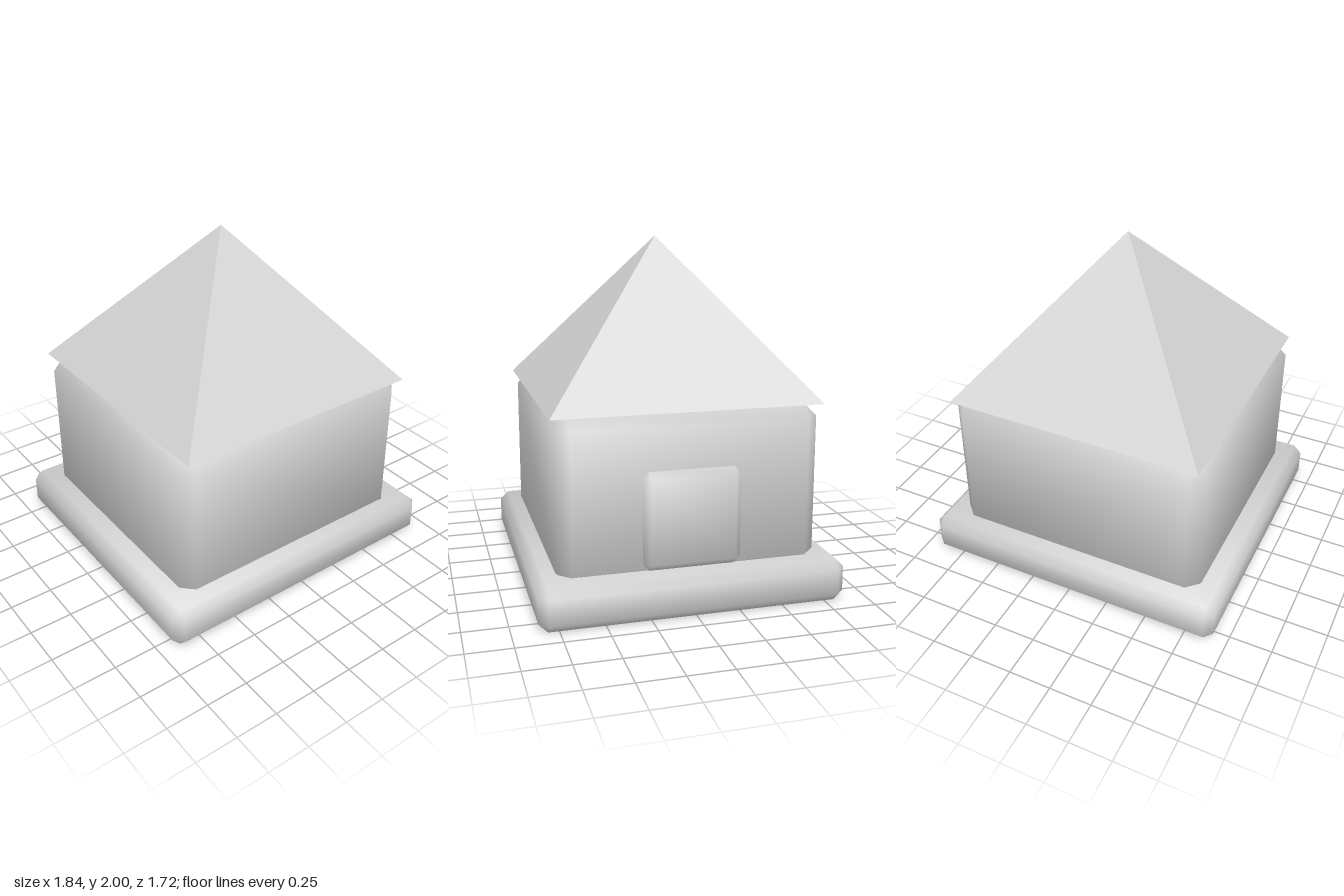
import * as THREE from 'three';
import { ConvexGeometry } from 'three/addons/geometries/ConvexGeometry.js';

// Box with every edge and corner cut by c, softly shaded across the cuts
function chamferedBox(w, h, d, c) {
  const half = [w / 2, h / 2, d / 2];
  const points = [];
  for (const sx of [-1, 1]) for (const sy of [-1, 1]) for (const sz of [-1, 1]) {
    const signs = [sx, sy, sz];
    for (let axis = 0; axis < 3; axis++) {
      const p = signs.map((s, i) => s * (half[i] - (i === axis ? 0 : c)));
      points.push(new THREE.Vector3(...p));
    }
  }
  const geometry = new ConvexGeometry(points);
  const pos = geometry.attributes.position;
  const normal = new THREE.Vector3();
  for (let i = 0; i < pos.count; i++) {
    // Average of the main face, two edge cuts and the corner cut
    const n = [pos.getX(i), pos.getY(i), pos.getZ(i)].map((v, k) =>
      Math.sign(v) * (Math.abs(v) > half[k] - c / 2 ? 2.99 : 1.28));
    normal.set(...n).normalize();
    geometry.attributes.normal.setXYZ(i, normal.x, normal.y, normal.z);
  }
  return geometry;
}

export function createModel() {
  const model = new THREE.Group();
  model.name = 'house';
  const lightGrey = new THREE.MeshStandardMaterial({ color: 0xd2d2d2 });
  lightGrey.name = 'lightGrey';

  const add = (name, geometry, x, y, z) => {
    const mesh = new THREE.Mesh(geometry, lightGrey);
    mesh.name = name;
    mesh.position.set(x, y, z);
    model.add(mesh);
  };

  // Foundation slab and walls sunk slightly into it
  add('foundation', chamferedBox(1.84, 0.244, 1.72, 0.05), 0, 0.122, 0);
  add('walls', chamferedBox(1.56, 0.925, 1.48, 0.075), 0, 0.6425, 0);

  // Door panel on the +x wall
  add('door', chamferedBox(0.09, 0.56, 0.56, 0.04), 0.77, 0.523, 0);

  // Four-sided pyramid roof with sharp edges
  const roof = new THREE.ConeGeometry(0.763 * Math.SQRT2, 0.895, 4, 1)
    .rotateY(Math.PI / 4).toNonIndexed();
  roof.computeVertexNormals();
  add('roof', roof, 0, 1.5525, 0);

  return model;
}
